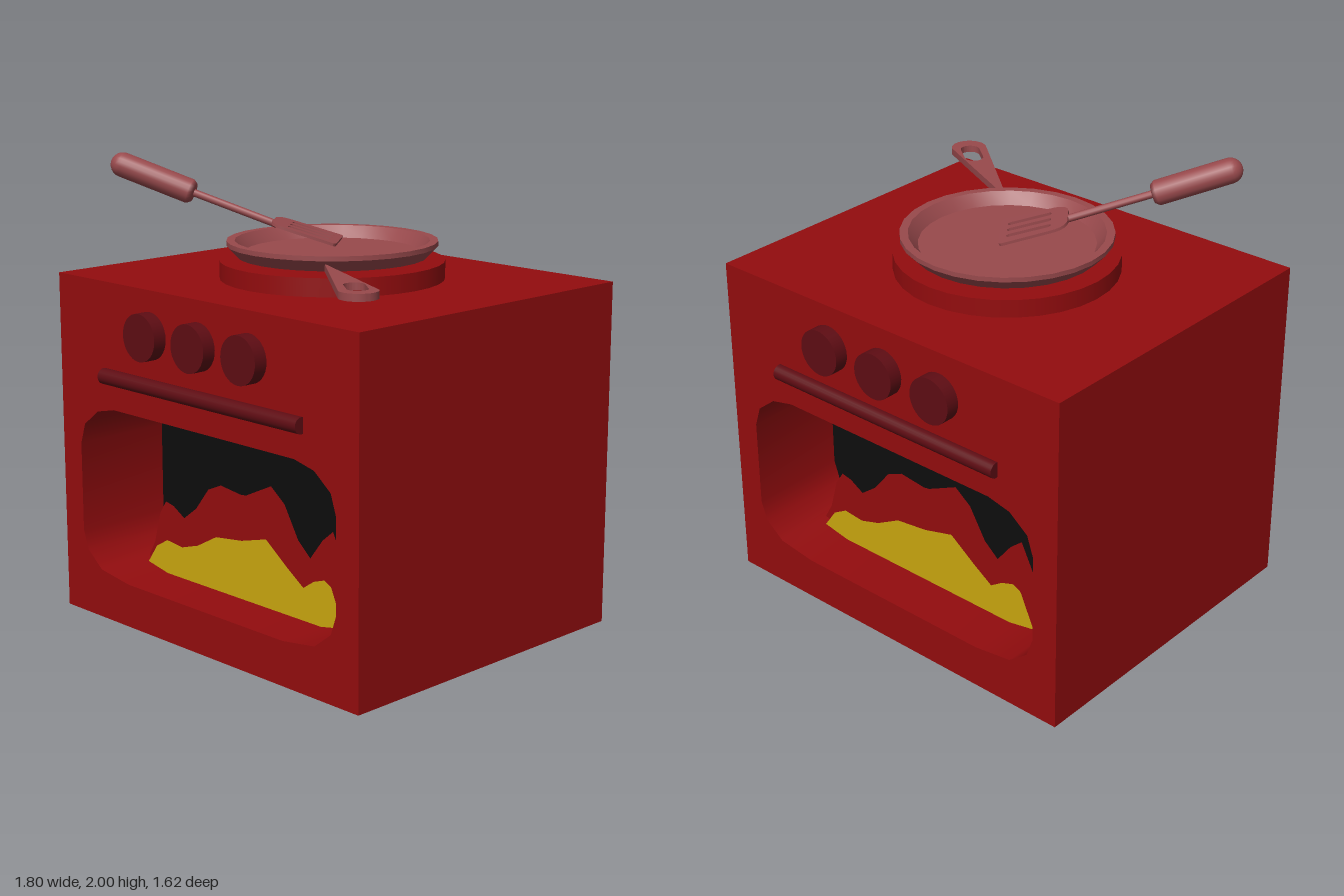
import * as THREE from 'three';
import { toCreasedNormals } from 'three/addons/utils/BufferGeometryUtils.js';

const paint = (color, side = THREE.FrontSide) => new THREE.MeshStandardMaterial({ color, side });
const V3 = (x, y, z) => new THREE.Vector3(x, y, z);
const polygon = (pts) => new THREE.Shape(pts.map(([x, y]) => new THREE.Vector2(x, y)));

function add(parent, name, geometry, material, x = 0, y = 0, z = 0) {
  const mesh = new THREE.Mesh(geometry, material);
  mesh.name = name;
  mesh.position.set(x, y, z);
  parent.add(mesh);
  return mesh;
}

// Rounded slot running along u from a to b
function slot(a, b, v, r) {
  const p = new THREE.Path();
  p.absarc(b, v, r, -Math.PI / 2, Math.PI / 2, false);
  p.absarc(a, v, r, Math.PI / 2, Math.PI * 1.5, false);
  p.closePath();
  return p;
}

// Places a mesh built along +y so that it runs from a towards b
function aim(mesh, a, b) {
  mesh.position.copy(a).lerp(b, 0.5);
  mesh.quaternion.setFromUnitVectors(V3(0, 1, 0), b.clone().sub(a).normalize());
}

export function createModel() {
  const model = new THREE.Group();
  model.name = 'toyStove';
  const red = paint(0x930c0e);
  const darkRed = paint(0x5e0c13);
  const pink = paint(0x98494c);
  const black = paint(0x0d0d0d);
  const flameRed = paint(0x930c0e, THREE.DoubleSide);
  const flameYellow = paint(0xcaa70f, THREE.DoubleSide);

  // Body with a window running through from front to back
  const body = polygon([[-0.9, 0], [0.9, 0], [0.9, 1.49], [-0.9, 1.49]]);
  const half = [[0.48, 0.19], [0.66, 0.215], [0.75, 0.285], [0.78, 0.37],
    [0.78, 0.76], [0.75, 0.85], [0.66, 0.92], [0.55, 0.945]];
  const mirrored = half.map(([x, y]) => [-x, y]).reverse();
  body.holes.push(polygon([...half, ...mirrored]));
  const bodyGeo = new THREE.ExtrudeGeometry(body, { depth: 1.5, bevelEnabled: false });
  add(model, 'body', toCreasedNormals(bodyGeo, 0.6), red, 0, 0, -0.75);

  // Dark core that closes the window and shows underneath
  add(model, 'ovenCore', new THREE.BoxGeometry(1.64, 1.0, 0.6), black, 0, 0.498, 0);

  // Knobs, bar and flames, repeated by a half turn on the back
  const redFlame = polygon([[-0.64, 0.23], [-0.6, 0.3], [-0.56, 0.44], [-0.52, 0.5], [-0.47, 0.49],
    [-0.4, 0.45], [-0.32, 0.51], [-0.24, 0.61], [-0.16, 0.645], [-0.03, 0.63], [0, 0.635],
    [0.15, 0.705], [0.23, 0.645], [0.31, 0.51], [0.38, 0.45], [0.45, 0.54], [0.51, 0.59],
    [0.57, 0.47], [0.63, 0.23], [0.48, 0.19], [-0.48, 0.19]]);
  const yellowFlame = polygon([[-0.61, 0.215], [-0.55, 0.3], [-0.48, 0.34], [-0.38, 0.33],
    [-0.28, 0.36], [-0.16, 0.425], [0, 0.445], [0.15, 0.485], [0.28, 0.39], [0.37, 0.33],
    [0.43, 0.37], [0.49, 0.39], [0.53, 0.37], [0.6, 0.215], [0.47, 0.19], [-0.48, 0.19]]);
  for (const [name, turn] of [['frontPanel', 0], ['backPanel', Math.PI]]) {
    const panel = new THREE.Group();
    panel.name = name;
    panel.rotation.y = turn;
    for (const x of [-0.3, 0, 0.3]) {
      const knob = add(panel, 'knob', new THREE.CylinderGeometry(0.1, 0.1, 0.08, 32), darkRed, x, 1.3, 0.77);
      knob.rotation.x = Math.PI / 2;
    }
    const bar = add(panel, 'doorBar', new THREE.CylinderGeometry(0.034, 0.034, 1.2, 20), darkRed, 0, 1.087, 0.758);
    bar.rotation.z = Math.PI / 2;
    add(panel, 'redFlame', new THREE.ShapeGeometry(redFlame), flameRed, 0, 0, 0.5);
    add(panel, 'yellowFlame', new THREE.ShapeGeometry(yellowFlame), flameYellow, 0, 0, 0.53);
    model.add(panel);
  }

  // Burner plate
  add(model, 'burner', new THREE.CylinderGeometry(0.475, 0.475, 0.08, 32), red, 0, 1.527, 0);

  // Frying pan: dish and flat handle with a hanging hole
  const pan = new THREE.Group();
  pan.name = 'fryingPan';
  const profile = [[0, 1.582], [0.4, 1.582], [0.445, 1.63], [0.445, 1.65], [0.41, 1.65], [0.37, 1.6], [0, 1.6]];
  const dish = new THREE.LatheGeometry(profile.map(([r, y]) => new THREE.Vector2(r, y)), 28);
  add(pan, 'panDish', toCreasedNormals(dish, 0.5), pink);
  const grip = new THREE.Shape();
  grip.moveTo(0.4, -0.03);
  grip.absarc(1.0, 0.027, 0.078, -Math.PI / 2, Math.PI / 2, false);
  grip.lineTo(0.4, 0.082);
  grip.closePath();
  grip.holes.push(slot(0.88, 0.975, 0.027, 0.042));
  const gripGeo = new THREE.ExtrudeGeometry(grip, { depth: 0.03, bevelEnabled: false });
  gripGeo.rotateX(Math.PI / 2);
  const panHandle = add(pan, 'panHandle', toCreasedNormals(gripGeo, 0.5), pink, 0, 1.615, 0);
  panHandle.rotation.y = -0.655;
  model.add(pan);

  // Spatula: grip, rod and slotted blade
  const spatula = new THREE.Group();
  spatula.name = 'spatula';
  const tip = V3(-0.722, 1.946, 0.53);
  const collar = V3(-0.49, 1.84, 0.36);
  const neck = V3(-0.19, 1.708, 0.14);
  const len = tip.distanceTo(collar);
  const gripProfile = [[0, -len / 2 - 0.02], [0.04, -len / 2 - 0.018], [0.053, -len / 2]];
  for (let i = 0; i <= 6; i++) {
    const a = (i / 6) * Math.PI / 2;
    gripProfile.push([0.053 * Math.cos(a), len / 2 + 0.053 * Math.sin(a)]);
  }
  const gripLathe = new THREE.LatheGeometry(gripProfile.map(([r, y]) => new THREE.Vector2(Math.max(r, 0), y)), 20);
  aim(add(spatula, 'spatulaGrip', gripLathe, pink), collar, tip);
  const rod = new THREE.CylinderGeometry(0.016, 0.016, collar.distanceTo(neck), 12);
  aim(add(spatula, 'spatulaRod', rod, pink), collar, neck);

  const blade = new THREE.Shape();
  blade.moveTo(0, -0.05);
  blade.quadraticCurveTo(0.005, -0.108, 0.07, -0.112);
  blade.lineTo(0.27, -0.12);
  blade.quadraticCurveTo(0.29, -0.12, 0.29, -0.1);
  blade.lineTo(0.29, 0.1);
  blade.quadraticCurveTo(0.29, 0.12, 0.27, 0.12);
  blade.lineTo(0.07, 0.112);
  blade.quadraticCurveTo(0.005, 0.108, 0, 0.05);
  blade.closePath();
  for (const v of [-0.058, 0, 0.058]) blade.holes.push(slot(0.085, 0.245, v, 0.014));
  const bladeGeo = new THREE.ExtrudeGeometry(blade, { depth: 0.012, bevelEnabled: false });
  const along = V3(0.215, -0.08, -0.165).normalize();
  const across = V3(-0.165, 0, -0.215).normalize();
  const up = along.clone().cross(across);
  const bladeMesh = add(spatula, 'spatulaBlade', toCreasedNormals(bladeGeo, 0.5), pink, -0.205, 1.718, 0.146);
  bladeMesh.quaternion.setFromRotationMatrix(new THREE.Matrix4().makeBasis(along, across, up));
  model.add(spatula);

  return model;
}
